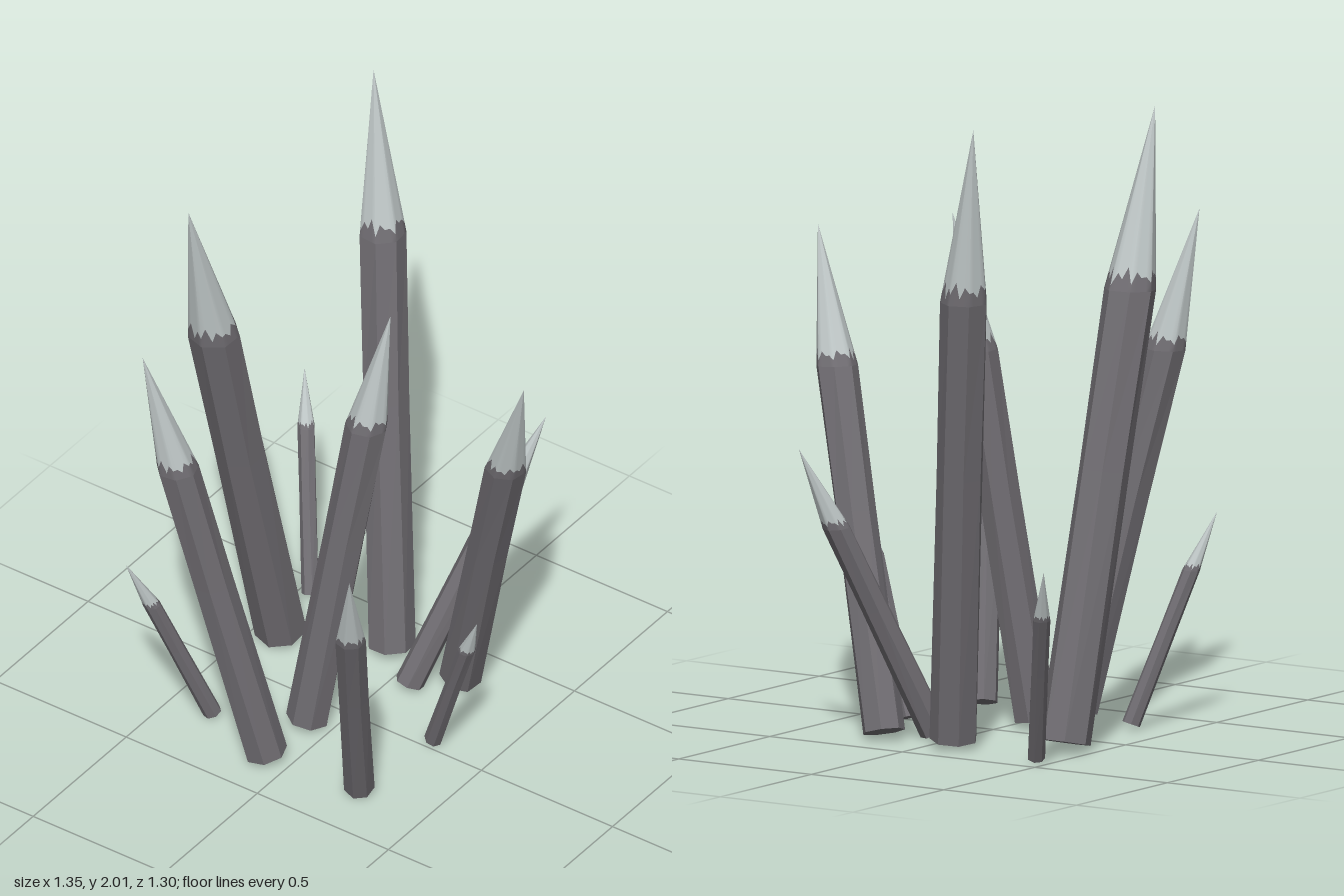
import * as THREE from 'three';

const SIDES = 7;
const SUB = 4; // tip columns per side, for the ragged colour edge

// [name, radius, base (x, z), shoulder (x, y, z), point (x, y, z)]
const SPIKES = [
  ['backLarge', 0.083, [0.205, -0.41], [-0.155, 1.40, -0.41], [-0.30, 1.96, -0.405]],
  ['rightLarge', 0.076, [0.34, -0.085], [0.53, 1.44, -0.255], [0.59, 2.0, -0.33]],
  ['leftMedium', 0.067, [-0.335, -0.085], [-0.52, 1.15, -0.29], [-0.595, 1.59, -0.37]],
  ['centreMedium', 0.068, [-0.115, -0.08], [-0.03, 1.18, 0.085], [0.005, 1.61, 0.15]],
  ['frontMedium', 0.067, [0.34, 0.18], [0.118, 1.11, 0.51], [0.02, 1.53, 0.648]],
  ['leftSmall', 0.049, [-0.305, 0.25], [-0.577, 0.82, 0.41], [-0.675, 1.13, 0.475]],
  ['rightSmall', 0.044, [0.22, 0.07], [0.495, 0.675, 0.25], [0.595, 0.93, 0.325]],
  ['frontTiny', 0.028, [0.03, 0.295], [-0.058, 0.49, 0.485], [-0.09, 0.64, 0.547]],
  ['backRightTiny', 0.028, [0.42, -0.45], [0.605, 0.48, -0.597], [0.67, 0.645, -0.65]],
  ['backLeftTiny', 0.028, [-0.255, -0.345], [-0.42, 0.48, -0.458], [-0.495, 0.66, -0.505]],
];

// Joins two closed rows of n vertices with outward faces
function stitch(index, low, high, n) {
  for (let i = 0; i < n; i++) {
    const j = (i + 1) % n;
    index.push(low + i, high + i, low + j, low + j, high + i, high + j);
  }
}

function makeGeometry(points, index) {
  const geometry = new THREE.BufferGeometry().setFromPoints(points);
  geometry.setIndex(index);
  return geometry;
}

// A ring of corners; tilt leans it towards square with the axis
function ring(centre, radius, phase, axis, tilt) {
  return Array.from({ length: SIDES }, (_, i) => {
    const a = phase + (i / SIDES) * Math.PI * 2;
    const dx = Math.cos(a) * radius;
    const dz = Math.sin(a) * radius;
    const dy = (-tilt * (dx * axis.x + dz * axis.z)) / axis.y;
    return new THREE.Vector3(centre.x + dx, centre.y + dy, centre.z + dz);
  });
}

function makeSpike([name, radius, [bx, bz], shoulderAt, pointAt], number, stone, frost) {
  const base = new THREE.Vector3(bx, radius * 0.25, bz);
  const shoulder = new THREE.Vector3(...shoulderAt);
  const point = new THREE.Vector3(...pointAt);
  const axis = shoulder.clone().sub(base);
  const phase = 0.3 + number * 0.7;

  // Faceted shaft, slightly waisted in the middle, with a closed foot
  const shaftRings = [
    ring(base, radius, phase, axis, 0.9),
    ring(base.clone().lerp(shoulder, 0.6), radius * 0.97, phase + 0.06, axis, 0.5),
    ring(shoulder, radius, phase, axis, 0.2),
  ];
  const shaftIndex = [];
  stitch(shaftIndex, 0, SIDES, SIDES);
  stitch(shaftIndex, SIDES, SIDES * 2, SIDES);
  for (let i = 0; i < SIDES; i++) shaftIndex.push(SIDES * 3, i, (i + 1) % SIDES);
  const shaftGeometry = makeGeometry([...shaftRings.flat(), base], shaftIndex).toNonIndexed();
  shaftGeometry.computeVertexNormals();
  const shaft = new THREE.Mesh(shaftGeometry, stone);
  shaft.name = 'shaft';

  // Smooth tip: a ragged stone collar below a pale point
  const count = SIDES * SUB;
  const foot = [];
  const ragged = [];
  const apex = [];
  for (let k = 0; k < count; k++) {
    const side = Math.floor(k / SUB);
    const corner = shaftRings[2][side];
    const next = shaftRings[2][(side + 1) % SIDES];
    const p = corner.clone().lerp(next, (k % SUB) / SUB);
    const rise = 0.03 + (k % 2) * 0.05 + ((k * 5 + number * 3) % 7) * 0.009;
    foot.push(p);
    ragged.push(p.clone().lerp(point, rise));
    apex.push(point);
  }
  const tipIndex = [];
  stitch(tipIndex, 0, count, count);
  const collarEnd = tipIndex.length;
  for (let k = 0; k < count; k++) {
    tipIndex.push(count + k, count * 2 + k, count + ((k + 1) % count));
  }
  const tipGeometry = makeGeometry([...foot, ...ragged, ...apex], tipIndex);
  tipGeometry.addGroup(0, collarEnd, 0);
  tipGeometry.addGroup(collarEnd, tipIndex.length - collarEnd, 1);
  tipGeometry.computeVertexNormals();
  const tip = new THREE.Mesh(tipGeometry, [stone, frost]);
  tip.name = 'tip';

  const spike = new THREE.Group();
  spike.name = name + 'Spike';
  spike.add(shaft, tip);
  return spike;
}

export function createModel() {
  const stone = new THREE.MeshStandardMaterial({ color: 0x706d72 });
  stone.name = 'dark stone';
  const frost = new THREE.MeshStandardMaterial({ color: 0xbec6c6 });
  frost.name = 'pale tip';

  const model = new THREE.Group();
  model.name = 'spikeCluster';
  SPIKES.forEach((spec, i) => model.add(makeSpike(spec, i, stone, frost)));
  return model;
}
